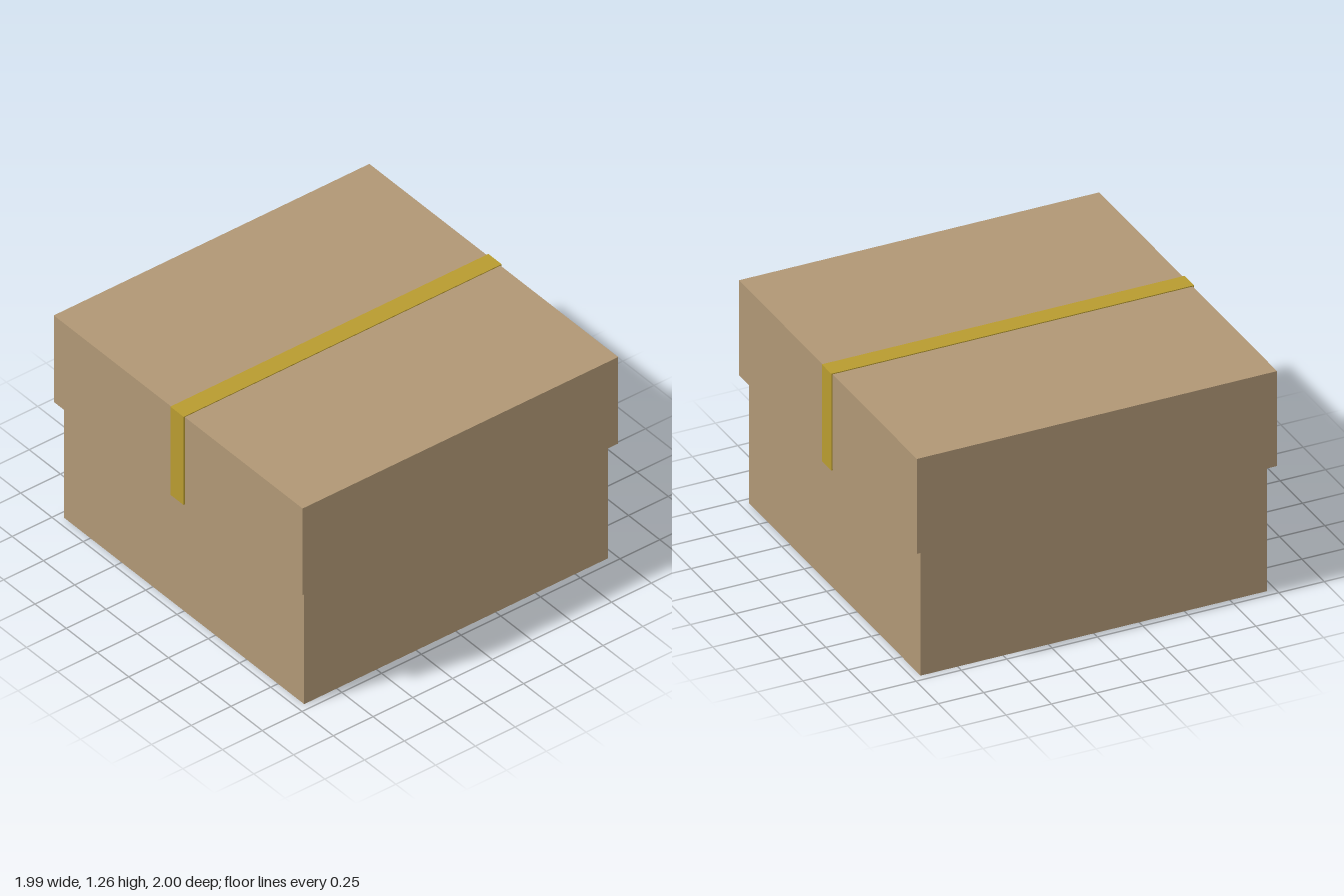
import * as THREE from 'three';

const cardboard = new THREE.MeshStandardMaterial({ color: 0xb09775 });
const tapeYellow = new THREE.MeshStandardMaterial({ color: 0xb89b30 });

// Inverted U outline, open at the bottom, with the given wall and top thickness
function archShape(halfWidth, bottom, top, wall, roof) {
  const inner = halfWidth - wall;
  return new THREE.Shape([
    [-halfWidth, bottom], [-inner, bottom], [-inner, top - roof], [inner, top - roof],
    [inner, bottom], [halfWidth, bottom], [halfWidth, top], [-halfWidth, top],
  ].map(([x, y]) => new THREE.Vector2(x, y)));
}

function addBox(parent, name, w, h, d, x, y, z) {
  const mesh = new THREE.Mesh(new THREE.BoxGeometry(w, h, d), cardboard);
  mesh.name = name;
  mesh.position.set(x, y, z);
  parent.add(mesh);
}

export function createModel() {
  const model = new THREE.Group();
  model.name = 'cardboardBox';

  // Lower box, reaching up inside the lid
  addBox(model, 'base', 1.92, 1.22, 1.91, 0, 0.61, 0);

  // Lid: top panel with four overhanging sides
  const lid = new THREE.Group();
  lid.name = 'lid';
  addBox(lid, 'lidTop', 1.99, 0.04, 1.985, 0, 1.24, 0);
  for (const s of [-1, 1]) {
    addBox(lid, 'lidSide', 0.035, 0.5, 1.985, s * 0.9775, 0.97, 0);
    addBox(lid, 'lidEnd', 1.92, 0.5, 0.0375, 0, 0.97, s * 0.97375);
  }
  model.add(lid);

  // Tape strip wrapped over the lid from front to back
  const tapeGeometry = new THREE.ExtrudeGeometry(
    archShape(1, 0.715, 1.265, 0.045, 0.045), { depth: 0.106, bevelEnabled: false });
  tapeGeometry.translate(0, 0, -0.053).rotateY(Math.PI / 2);
  const tape = new THREE.Mesh(tapeGeometry, tapeYellow);
  tape.name = 'tapeStrip';
  model.add(tape);

  return model;
}
